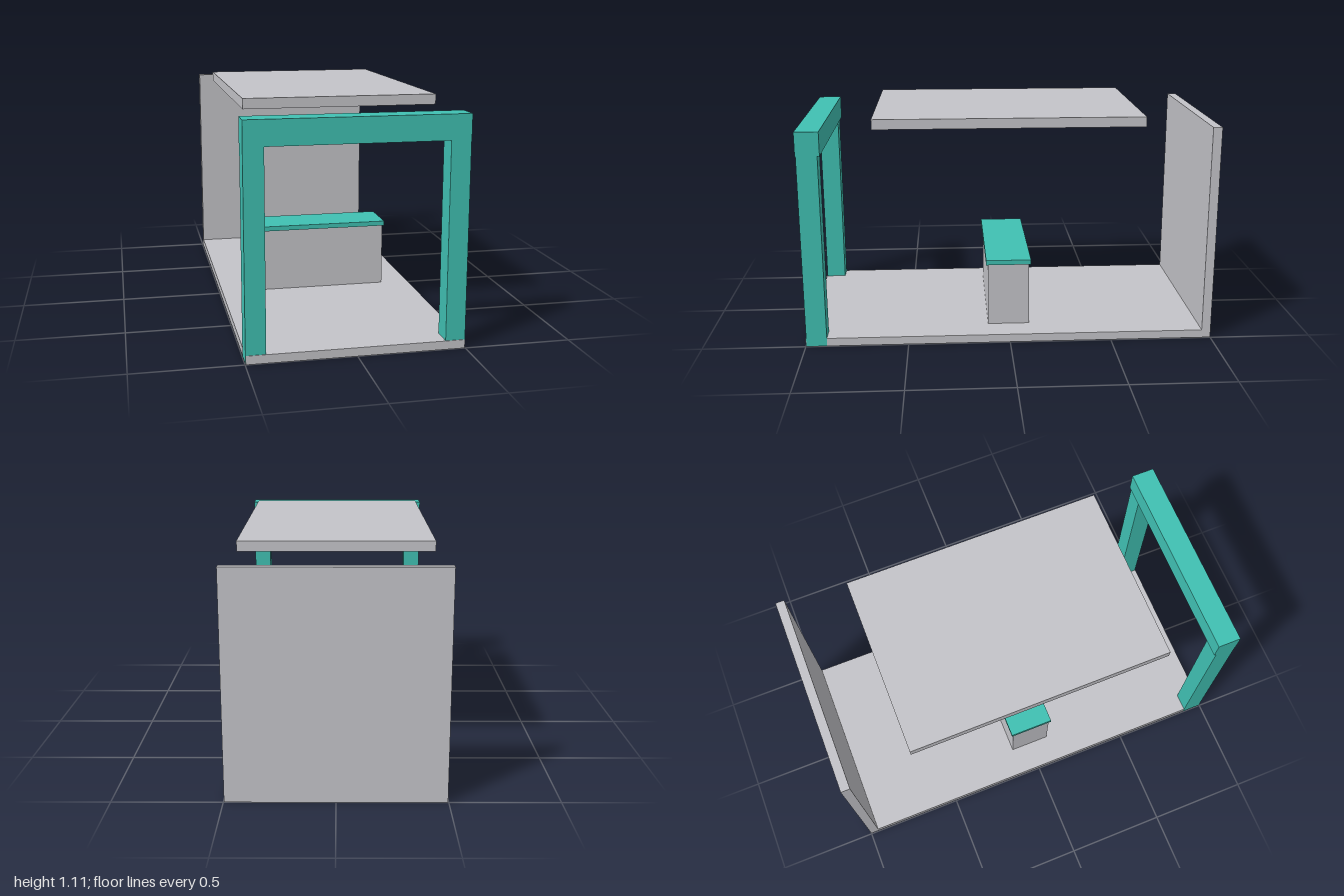
import * as THREE from 'three';

export function createModel() {
  const model = new THREE.Group();
  const grey = new THREE.MeshStandardMaterial({ color: 0xc4c4c9 });
  grey.name = 'light grey';
  const teal = new THREE.MeshStandardMaterial({ color: 0x40c0b2 });
  teal.name = 'teal';

  // Box given by its limits along each axis
  function block(name, material, [x0, x1], [y0, y1], [z0, z1]) {
    const mesh = new THREE.Mesh(new THREE.BoxGeometry(x1 - x0, y1 - y0, z1 - z0), material);
    mesh.position.set((x0 + x1) / 2, (y0 + y1) / 2, (z0 + z1) / 2);
    mesh.name = name;
    model.add(mesh);
  }

  // Booth shell: floor, back wall and floating canopy
  block('floor', grey, [-0.497, 0.497], [0, 0.04], [-1, 1]);
  block('backWall', grey, [-0.497, 0.497], [0.04, 1.065], [-1, -0.956]);
  block('canopy', grey, [-0.449, 0.449], [1.062, 1.11], [-0.648, 0.648]);

  // Front gateway: two posts and a deeper crossbeam
  for (const [name, side] of [['leftPost', 1], ['rightPost', -1]]) {
    const xs = [side * 0.407, side * 0.498].sort((a, b) => a - b);
    block(name, teal, xs, [0.001, 0.95], [0.897, 0.997]);
  }
  block('crossbeam', teal, [-0.498, 0.498], [0.95, 1.065], [0.886, 1]);

  // Counter with an overhanging top
  block('counterBody', grey, [-0.355, 0.355], [0.04, 0.355], [-0.103, 0.103]);
  block('counterTop', teal, [-0.363, 0.363], [0.355, 0.379], [-0.112, 0.112]);

  return model;
}
